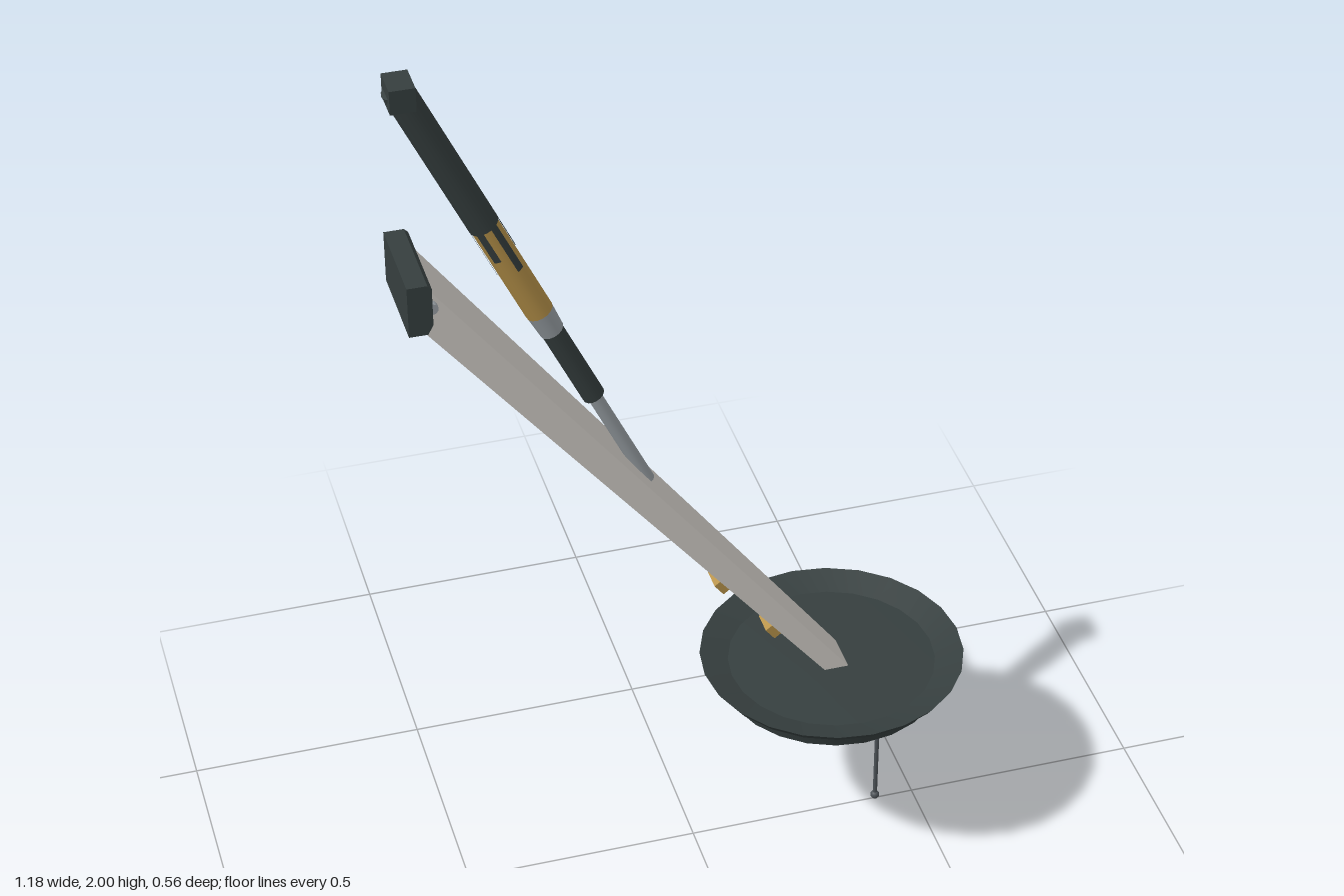
import * as THREE from 'three';
import { toCreasedNormals } from 'three/addons/utils/BufferGeometryUtils.js';

const paint = (name, color) => {
  const m = new THREE.MeshStandardMaterial({ color });
  m.name = name;
  return m;
};

export function createModel() {
  const dark = paint('charcoal', 0x363f3f);
  const light = paint('paleGrey', 0xd8d4ce);
  const gold = paint('gold', 0xb8934a);
  const silver = paint('silver', 0x9aa1a6);
  const probeGrey = paint('probeGrey', 0x4c5257);
  const root = new THREE.Group();
  root.name = 'landingLeg';

  const add = (parent, name, geo, mat, x = 0, y = 0, z = 0) => {
    const mesh = new THREE.Mesh(geo, mat);
    mesh.name = name;
    mesh.position.set(x, y, z);
    parent.add(mesh);
    return mesh;
  };

  // Dished foot pad
  const profile = [
    [0, 0.385], [0.234, 0.385], [0.24, 0.406], [0.222, 0.411], [0.27, 0.432],
    [0.28, 0.446], [0.22, 0.428], [0, 0.436],
  ].map(([r, y]) => new THREE.Vector2(r, y));
  add(root, 'footPad', toCreasedNormals(new THREE.LatheGeometry(profile, 24), 0.3), dark, 0.305);

  // Contact probe hanging below the pad
  add(root, 'probeRod', new THREE.CylinderGeometry(0.005, 0.005, 0.38, 8), probeGrey, 0.415, 0.2);
  add(root, 'probeTip', new THREE.SphereGeometry(0.01, 10, 8), probeGrey, 0.415, 0.01);

  // Tapered main strut: a box whose corners are moved to the two end sections
  const strut = new THREE.BoxGeometry(2, 2, 2);
  const p = strut.attributes.position;
  for (let i = 0; i < p.count; i++) {
    const outer = p.getX(i) > 0, top = p.getY(i) > 0, side = p.getZ(i);
    const [x, y] = top ? (outer ? [-0.533, 1.578] : [-0.562, 1.505])
      : (outer ? [0.328, 0.435] : [0.276, 0.435]);
    p.setXYZ(i, x, y, side * (top ? 0.08 : 0.044));
  }
  strut.computeVertexNormals();
  add(root, 'mainStrut', strut, light);

  // Hinge bracket at the top of the strut, with chamfered front edges
  const plate = new THREE.Shape([
    [-0.585, 1.5], [-0.548, 1.5], [-0.537, 1.52], [-0.537, 1.602], [-0.545, 1.61], [-0.585, 1.61],
  ].map(([x, y]) => new THREE.Vector2(x, y)));
  add(root, 'hingeBracket', new THREE.ExtrudeGeometry(plate, { depth: 0.2, bevelEnabled: false }), dark, 0, 0, -0.1);
  for (const s of [-1, 1]) {
    const pin = add(root, 'hingePin', new THREE.CylinderGeometry(0.012, 0.012, 0.014, 10), silver, -0.536, 1.55, s * 0.086);
    pin.rotation.x = Math.PI / 2;
  }

  // Small clips under the strut
  for (const [x, y] of [[0.06, 0.697], [0.172, 0.553]]) {
    const clip = add(root, 'strutClip', new THREE.BoxGeometry(0.03, 0.032, 0.05), gold, x, y);
    clip.rotation.z = 0.65;
  }

  // Telescoping damper; its local y runs down along the axis
  const damper = new THREE.Group();
  damper.name = 'damper';
  damper.position.set(-0.565, 1.985, 0);
  damper.quaternion.setFromUnitVectors(
    new THREE.Vector3(0, 1, 0), new THREE.Vector3(0.465, -0.985, 0).normalize());
  root.add(damper);
  const tube = (name, r0, r1, from, to, mat) =>
    add(damper, name, new THREE.CylinderGeometry(r1, r0, to - from, 16), mat, 0, (from + to) / 2);
  tube('upperTube', 0.031, 0.031, 0, 0.36, dark);
  tube('goldSleeve', 0.0285, 0.0285, 0.35, 0.6, gold);
  tube('collar', 0.028, 0.025, 0.6, 0.655, silver);
  tube('lowerTube', 0.023, 0.023, 0.65, 0.845, dark);
  tube('pistonRod', 0.0145, 0.0145, 0.84, 1.1, silver);

  // Dark fingers reaching over the gold sleeve
  for (let i = 0; i < 6; i++) {
    const length = i % 2 ? 0.12 : 0.08;
    add(damper, 'sleeveFinger', new THREE.CylinderGeometry(0.0305, 0.0305, length, 3, 1, true,
      (i / 6) * Math.PI * 2 + 0.25, 0.5), dark, 0, 0.355 + length / 2);
  }

  // Mounting block at the top of the damper
  add(root, 'damperMount', new THREE.BoxGeometry(0.05, 0.05, 0.068), dark, -0.56, 1.975);

  return root;
}
